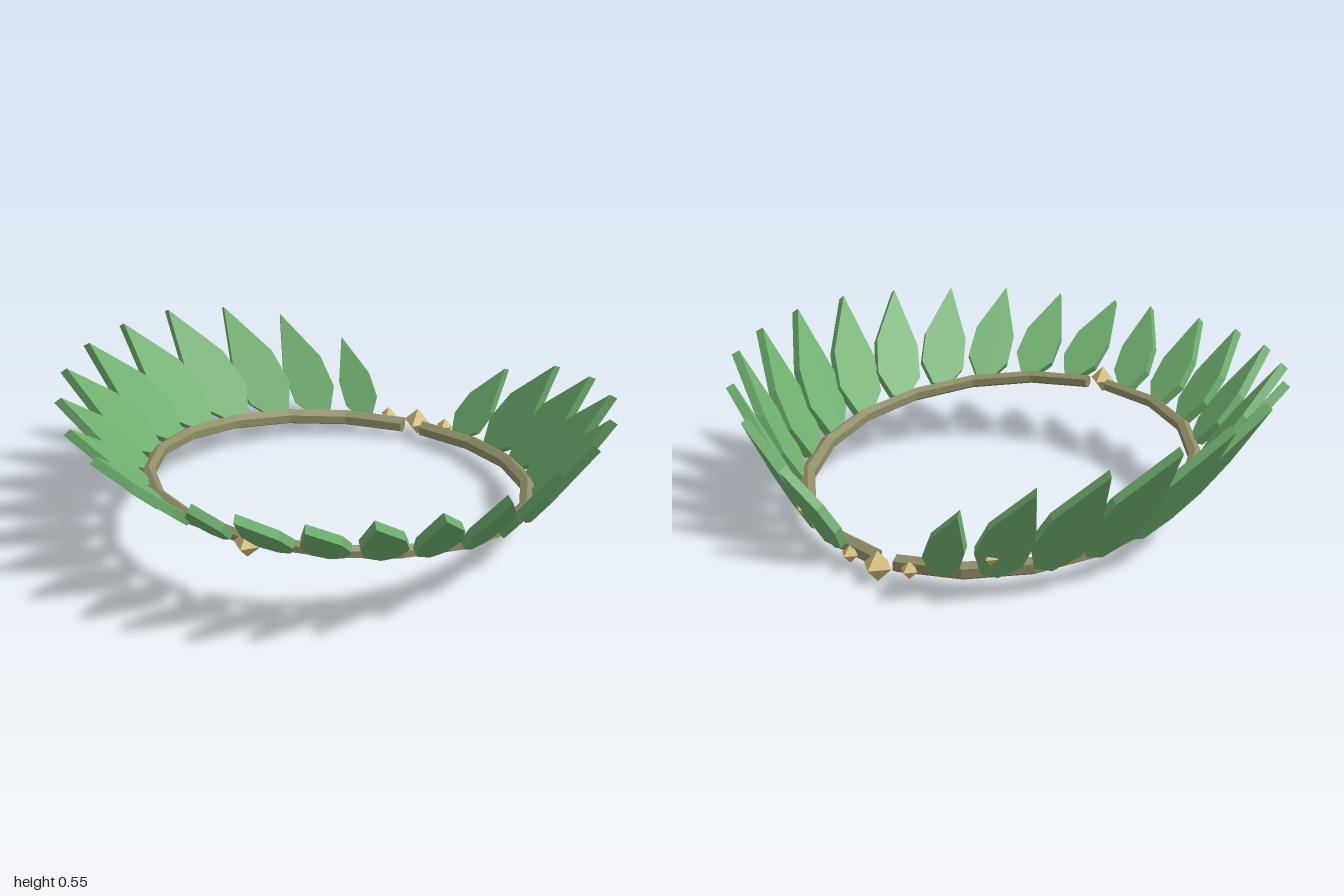
import * as THREE from 'three';

const paint = (color) => new THREE.MeshStandardMaterial({ color, flatShading: true });
const R = 0.69, CZ = -0.09;

// Point on the tilted ring; angle 0 is the front, growing toward +x
function ringPoint(a, dr = 0, dy = 0) {
  const z = CZ + (R + dr) * Math.cos(a);
  return new THREE.Vector3((R + dr) * Math.sin(a), 0.16 + 0.152 * (CZ + R * Math.cos(a) - CZ) + dy, z);
}

// Half of the band: a low-poly rod bent round the ring, thicker at the back
function bandGeometry(from, to) {
  const geo = new THREE.CylinderGeometry(1, 1, 1, 6, 9);
  const pos = geo.attributes.position;
  for (let i = 0; i < pos.count; i++) {
    const a = THREE.MathUtils.lerp(from, to, pos.getY(i) + 0.5);
    const r = 0.028 - 0.004 * Math.cos(a);
    const p = ringPoint(a, pos.getX(i) * r, pos.getZ(i) * r);
    pos.setXYZ(i, p.x, p.y, p.z);
  }
  geo.computeVertexNormals();
  return geo;
}

// Unit leaf: length 1 along y, faceted outline, extruded to a thin slab
function leafGeometry(length) {
  const w = 0.19 * length;
  const outline = [[-0.35, 0], [0.35, 0], [1, 0.2], [0.97, 0.5], [0, 1], [-0.97, 0.5], [-1, 0.2]];
  const shape = new THREE.Shape(outline.map(([x, y]) => new THREE.Vector2(x * w, y * length)));
  const geo = new THREE.ExtrudeGeometry(shape, { depth: 0.032, bevelEnabled: false });
  geo.translate(0, 0, -0.016);
  return geo;
}

export function createModel() {
  const group = new THREE.Group();
  const bandMat = paint(0x8f8d66), leafMat = paint(0x6fb06f), goldMat = paint(0xd6bd78);
  const add = (name, geo, mat) => {
    const mesh = new THREE.Mesh(geo, mat);
    mesh.name = name;
    group.add(mesh);
    return mesh;
  };

  // Two band halves with a gap at the front and the back
  const gap = 0.06;
  add('bandLeft', bandGeometry(gap, Math.PI - gap), bandMat);
  add('bandRight', bandGeometry(gap - Math.PI, -gap), bandMat);

  // Leaf tips of one side, from the back to the front
  const tips = [
    [0.35, 0.335, -0.87], [0.58, 0.43, -0.78], [0.76, 0.48, -0.64], [0.9, 0.52, -0.44],
    [0.97, 0.535, -0.22], [0.985, 0.545, 0.01], [0.94, 0.545, 0.24], [0.84, 0.535, 0.44],
    [0.69, 0.525, 0.62], [0.51, 0.52, 0.75], [0.31, 0.505, 0.84], [0.08, 0.505, 0.875],
  ];
  for (const side of [1, -1]) {
    tips.forEach(([x, y, z], i) => {
      const a = side * THREE.MathUtils.degToRad(164 - 14 * i);
      const base = ringPoint(a, 0.015);
      const axis = new THREE.Vector3(side * x, y, z).sub(base);
      const length = axis.length();
      axis.normalize();
      // Leaf width follows the ring tangent, square to its own axis
      const wide = new THREE.Vector3(Math.cos(a), 0, -Math.sin(a));
      wide.addScaledVector(axis, -wide.dot(axis)).normalize();
      const normal = new THREE.Vector3().crossVectors(wide, axis);
      const leaf = add(`leaf${side > 0 ? 'Left' : 'Right'}${i + 1}`, leafGeometry(length), leafMat);
      leaf.quaternion.setFromRotationMatrix(new THREE.Matrix4().makeBasis(wide, axis, normal));
      leaf.position.copy(base);
    });
  }

  // Gold beads in the gaps and beside the back gap
  const bead = (name, r, x, y, z) =>
    add(name, new THREE.OctahedronGeometry(r), goldMat).position.set(x, y, z);
  bead('frontBead', 0.05, 0, 0.27, 0.64);
  bead('backBead', 0.055, 0, 0.055, -0.83);
  for (const side of [1, -1]) {
    bead('smallBackBead', 0.032, side * 0.12, 0.065, -0.82);
    bead('smallSideBead', 0.028, side * 0.38, 0.14, -0.735);
  }
  return group;
}
